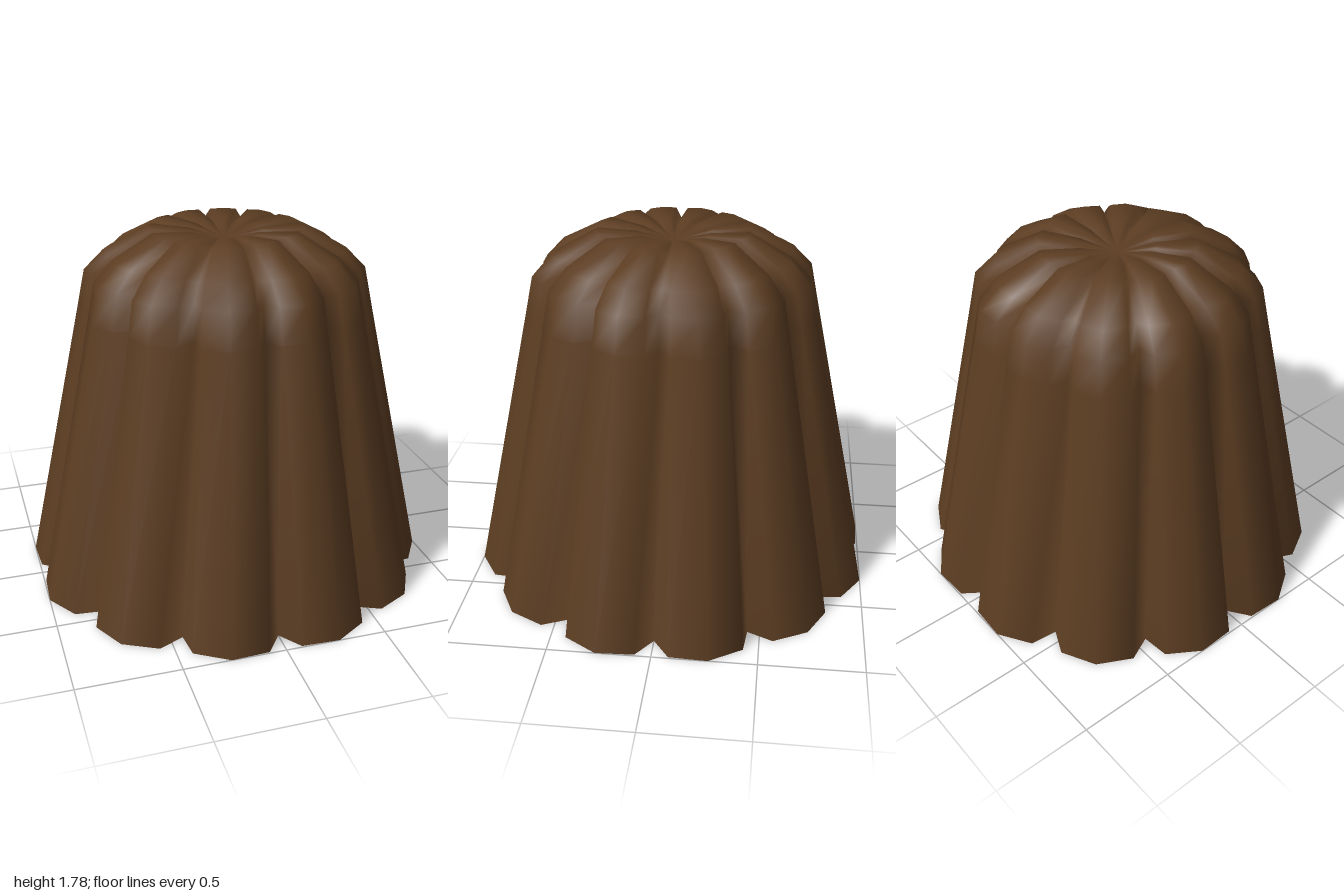
import * as THREE from 'three';

const LOBES = 12;
// One flute: [angle in degrees, radius], starting at its valley
const FLUTE = [[0, 0.88], [4.6, 0.995], [15, 1.035], [25.4, 0.995]];
// Rings from the open rim to the crown: [scale, height, valley drop]
const RINGS = [
  [1, 0, 0],
  [0.705, 1.4, 0],
  [0.67, 1.57, 0.005],
  [0.575, 1.67, 0.02],
  [0.37, 1.78, 0.04],
  [0.18, 1.765, 0.025],
];
const CENTRE_Y = 1.72;

// Open-bottomed fluted shell, lofted through the scaled rings
function flutedShell() {
  const pos = [], index = [];
  const n = LOBES * FLUTE.length;
  for (const [scale, y, drop] of RINGS) {
    for (let i = 0; i < n; i++) {
      const k = i % FLUTE.length;
      const [deg, r] = FLUTE[k];
      const a = THREE.MathUtils.degToRad(Math.floor(i / FLUTE.length) * 30 + deg);
      pos.push(Math.sin(a) * r * scale, k === 0 ? y - drop : y, Math.cos(a) * r * scale);
    }
  }
  for (let j = 0; j < RINGS.length - 1; j++) {
    for (let i = 0; i < n; i++) {
      const a = j * n + i, b = j * n + (i + 1) % n;
      index.push(a, b, b + n, a, b + n, a + n);
    }
  }
  // Dimple closing the crown
  const last = (RINGS.length - 1) * n, centre = RINGS.length * n;
  pos.push(0, CENTRE_Y, 0);
  for (let i = 0; i < n; i++) index.push(last + i, last + (i + 1) % n, centre);

  const geo = new THREE.BufferGeometry();
  geo.setAttribute('position', new THREE.Float32BufferAttribute(pos, 3));
  geo.setIndex(index);
  geo.computeVertexNormals();
  return geo;
}

export function createModel() {
  const group = new THREE.Group();
  group.name = 'flutedCake';
  const crust = new THREE.MeshStandardMaterial({ color: 0x5c3d22, side: THREE.DoubleSide });
  crust.name = 'caramel brown';
  const shell = new THREE.Mesh(flutedShell(), crust);
  shell.name = 'flutedCrust';
  group.add(shell);
  return group;
}
